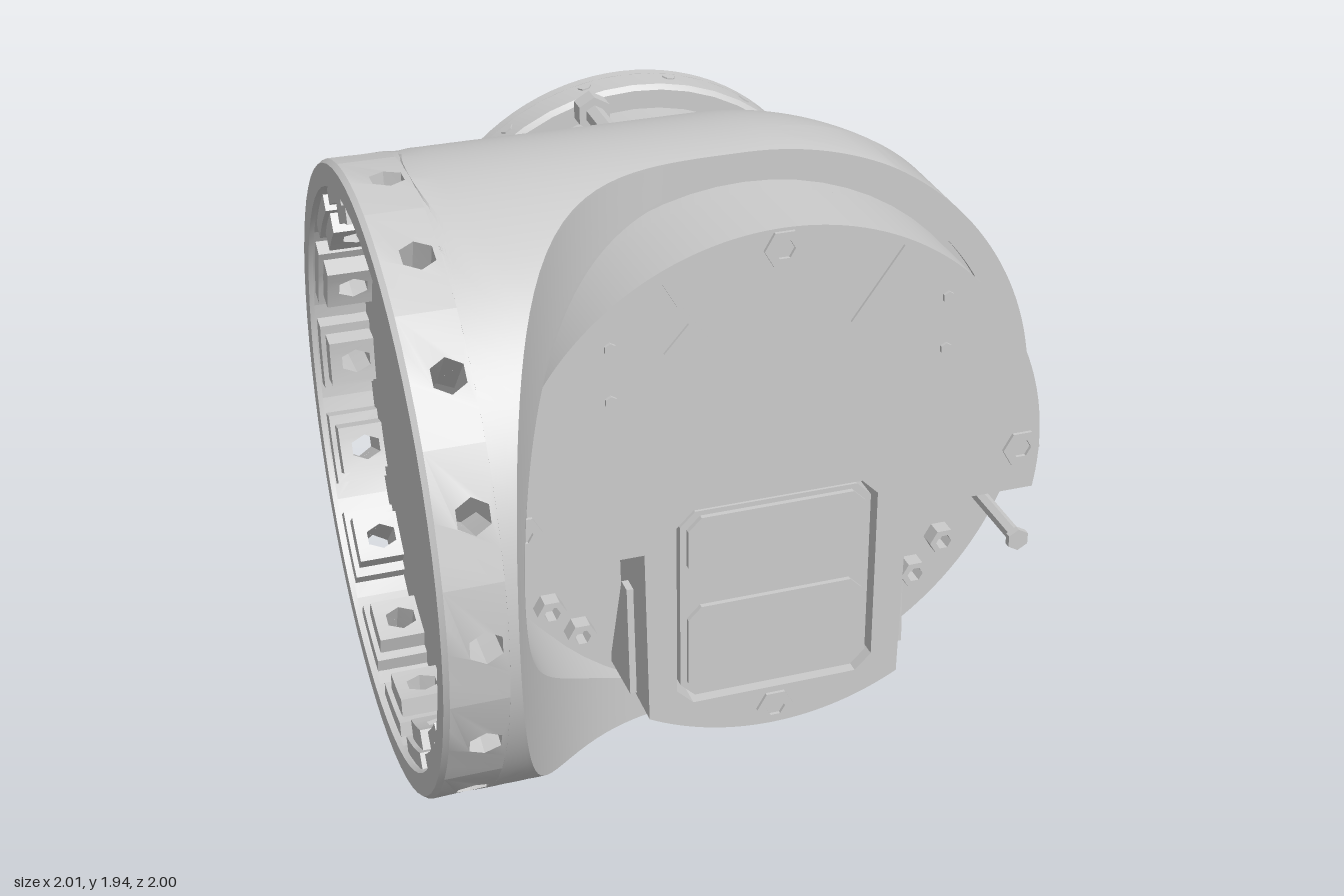
import * as THREE from 'three';
import { toCreasedNormals } from 'three/addons/utils/BufferGeometryUtils.js';

const CX = 0.09, CY = 1.02, CZ = 0.08, R = 0.915; // joint axis centre, side drum axis and radius
const mat = new THREE.MeshStandardMaterial({ color: 0xcccccc });
const thin = new THREE.MeshStandardMaterial({ color: 0xcccccc, side: THREE.DoubleSide });

// Housing surface: drum along x, necked by curved cuts front and back
const neck = (x, x0, x1, p) => Math.pow(1 - THREE.MathUtils.clamp((x - x0) / (x1 - x0), 0, 1), p);
const crown = (dx, dy) => {
  const s = dx > 0 ? Math.hypot(0.96 * dx, dy) : Math.abs(dy);
  return Math.sqrt(Math.max(0, R * R - s * s));
};
const sides = {
  front: { inner: 0.83, drum: (x, y) => CZ + crown(x, y), cut: x => 0.2 + 0.8 * neck(x + CX, -0.8, 0.05, 3.15), pick: Math.min },
  back: { inner: 0.77, drum: (x, y) => CZ - crown(x, y), cut: x => -0.23 - 0.61 * neck(x + CX, -0.8, -0.2, 3.5), pick: Math.max },
};

// Radius along a ray where the neck cut meets the drum
function creaseRadius(side, c, s, outer) {
  let lo = side.inner, hi = outer;
  for (let n = 0; n < 30; n++) {
    const r = (lo + hi) / 2, cut = side.cut(r * c);
    if (side.pick(side.drum(r * c, r * s), cut) === cut) lo = r; else hi = r;
  }
  return lo;
}

function housingGeometry() {
  const N = 160, H = 14, M = 2 * H, rows = 2 * M + 4, pos = [], idx = [];
  for (let j = 0; j <= N; j++) {
    const a = (j / N) * Math.PI * 2, c = Math.cos(a), s = Math.sin(a);
    const outer = c > 0 ? R : R / Math.max(Math.abs(c), Math.abs(s));
    for (let i = 0; i < rows; i++) {
      const side = i <= M + 1 ? sides.front : sides.back;
      const k = THREE.MathUtils.clamp(side === sides.front ? i - 1 : rows - 2 - i, 0, M);
      const crease = creaseRadius(side, c, s, outer);
      const r = k <= H
        ? THREE.MathUtils.lerp(side.inner, crease, k / H)
        : THREE.MathUtils.lerp(crease, outer, 1 - (1 - (k - H) / H) ** 2);
      const wall = i === 0 || i === rows - 1;
      const z = wall ? 0 : side.pick(side.drum(r * c, r * s), side.cut(r * c));
      pos.push(CX + r * c, CY + r * s, z);
    }
  }
  for (let j = 0; j < N; j++) for (let i = 0; i < rows - 1; i++) {
    const a = j * rows + i, b = a + rows;
    idx.push(a, a + 1, b + 1, a, b + 1, b);
  }
  const g = new THREE.BufferGeometry();
  g.setAttribute('position', new THREE.Float32BufferAttribute(pos, 3));
  g.setIndex(idx);
  return toCreasedNormals(g, 0.5);
}

// Pierced plate wrapped round the drum axis
function bentPlate(halfWidth, x0, x1, rIn, rOut, angle) {
  const pts = [], n = 4;
  for (let i = 0; i <= n; i++) pts.push([halfWidth * (2 * i / n - 1), x0]);
  for (let i = n; i >= 0; i--) pts.push([halfWidth * (2 * i / n - 1), x1]);
  const shape = outline(pts);
  shape.holes.push(polygon(6, 0.05, 0, -0.885));
  const g = new THREE.ExtrudeGeometry(shape, { depth: rOut - rIn, bevelEnabled: false });
  const p = g.attributes.position;
  for (let i = 0; i < p.count; i++) {
    const a = angle + p.getX(i) / R, r = rIn + p.getZ(i);
    p.setXYZ(i, p.getY(i), CY + r * Math.cos(a), CZ + r * Math.sin(a));
  }
  return toCreasedNormals(g, 0.5);
}

const outline = points => new THREE.Shape(points.map(p => new THREE.Vector2(...p)));

function polygon(n, r, x, y) {
  const pts = [];
  for (let i = 0; i < n; i++) {
    const a = (i / n) * Math.PI * 2;
    pts.push([x + r * Math.cos(a), y + r * Math.sin(a)]);
  }
  return outline(pts);
}

export function createModel() {
  const model = new THREE.Group();
  const add = (name, geo, x = 0, y = 0, z = 0, parent = model, m = mat) => {
    const mesh = new THREE.Mesh(geo, m);
    mesh.name = name;
    mesh.position.set(x, y, z);
    parent.add(mesh);
    return mesh;
  };
  const extrude = (shape, depth) => toCreasedNormals(
    new THREE.ExtrudeGeometry(shape, { depth, bevelEnabled: false, curveSegments: 48 }), 0.5);
  const rod = (r, len, n = 6) => toCreasedNormals(new THREE.CylinderGeometry(r, r, len, n).rotateX(Math.PI / 2), 0.5);
  const lathe = (profile, n) => new THREE.LatheGeometry(profile.map(p => new THREE.Vector2(...p)), n);
  // Hexagonal socket ring, axis along z
  const socket = (r, hole, depth) => {
    const s = polygon(6, r, 0, 0);
    s.holes.push(polygon(6, hole, 0, 0));
    return extrude(s, depth);
  };

  add('housing', housingGeometry());

  // Open mounting rim with pierced wall, chamfered lip and stepped inner lugs
  for (let i = 0; i < 16; i++) {
    const a = (i / 16) * Math.PI * 2;
    add('mountRim', bentPlate(Math.PI * R / 16, -0.985, CX - R, 0.84, R, a));
    add('mountLugBase', bentPlate(0.125, -0.98, -0.826, 0.79, 0.845, a));
    add('mountLug', bentPlate(0.09, -0.965, -0.827, 0.73, 0.795, a));
  }
  const rings = {
    mountLip: [[0.84, -0.985], [0.84, -1], [0.905, -1], [R, -0.985]],
    mountCollar: [[0.84, -0.826], [0.912, -0.826], [0.912, -0.8], [0.84, -0.8]],
  };
  for (const [name, profile] of Object.entries(rings))
    add(name, toCreasedNormals(lathe(profile, 64).rotateZ(-Math.PI / 2), 0.5), 0, CY, CZ);

  // Front cover: round base, stepped face with two lower notches
  const cover = new THREE.Group();
  cover.name = 'frontCover';
  cover.position.set(CX, CY, 0);
  model.add(cover);
  add('coverBase', rod(0.835, 0.24, 64), 0, 0, 0.06, cover);
  add('coverStep', rod(0.81, 0.1, 64), 0, 0, 0.2, cover);
  const octagon = (x, y0, y1, c) => outline([
    [-x + c, y0], [x - c, y0], [x, y0 + c], [x, y1 - c], [x - c, y1], [-x + c, y1], [-x, y1 - c], [-x, y0 + c]]);
  const face = new THREE.Shape();
  const low = Math.atan2(0.71, 0.39);
  face.absarc(0, 0, 0.81, -0.174, Math.PI + 0.174, false);
  face.lineTo(-0.4, -0.14);
  face.absarc(0, 0, 0.81, -Math.PI + low, -low, false);
  face.lineTo(0.4, -0.14);
  face.holes.push(octagon(0.305, -0.68, -0.02, 0.05));
  add('coverFace', extrude(face, 0.25), 0, 0, 0.25, cover);

  // Hatch set in a groove, with two panels
  add('hatch', extrude(octagon(0.29, -0.665, -0.035, 0.045), 0.235), 0, 0, 0.25, cover);
  add('upperPanel', extrude(octagon(0.27, -0.25, -0.05, 0.04), 0.015), 0, 0, 0.485, cover);
  add('lowerPanel', extrude(octagon(0.27, -0.65, -0.35, 0.04), 0.015), 0, 0, 0.485, cover);

  // Cover screws, marks and notch ribs
  for (const [x, y] of [[0, 0.75], [0, -0.75], [-0.75, 0], [0.75, 0]])
    add('coverScrew', socket(0.058, 0.03, 0.05), x, y, 0.46, cover);
  for (const s of [-1, 1]) {
    for (const y of [0.53, 0.37]) add('coverPin', rod(0.018, 0.02), s * 0.49, y, 0.5, cover);
    for (const [x, y] of [[0.53, -0.52], [0.62, -0.42]])
      add('notchScrew', socket(0.045, 0.025, 0.05), s * x, y, 0.25, cover);
    const mark = outline([[0.2, 0.5], [0.29, 0.46], [0.34, 0.49], [0.27, 0.57], [0.35, 0.71]].map(p => [s * p[0], p[1]]));
    add('coverMark', extrude(mark, 0.008), 0, 0, 0.5, cover);
    const rib = outline([[0.24, -0.66], [0.44, -0.65], [0.42, -0.3], [0.37, -0.3]]);
    add('notchRib', extrude(rib, 0.02).rotateY(-Math.PI / 2), s * 0.42 + 0.01, 0, 0, cover);
  }
  add('longScrew', rod(0.022, 0.35), 0.72, -0.26, 0.41, cover);
  add('longScrewHead', rod(0.035, 0.02), 0.72, -0.26, 0.58, cover);

  // Rear plate and connector disc
  add('rearPlate', rod(0.775, 0.12, 64), CX, CY, -0.1);
  add('connectorDisc', rod(0.3, 0.14, 24), CX + 0.01, CY, -0.22);

  // Ribbed drive unit
  const profile = [[0, 0.28], [0.55, 0.28], [0.57, 0.33], [0.62, 0.34], [0.63, 0.37], [0.69, 0.385], [0.69, 0.41],
    [0.64, 0.43], [0.64, 0.45], [0.67, 0.46], [0.67, 0.49], [0.64, 0.5], [0.64, 0.52], [0.67, 0.53], [0.67, 0.6],
    [0.63, 0.63], [0.61, 0.64], [0.61, 0.72], [0.64, 0.72], [0.64, 0.84], [0.7, 0.84], [0.715, 0.855],
    [0.715, 0.95], [0, 0.95]];
  add('driveUnit', toCreasedNormals(lathe(profile, 48).rotateX(-Math.PI / 2), 0.4), CX, CY, 0);
  add('driveTab', new THREE.BoxGeometry(0.1, 0.06, 0.07), 0.29, CY + 0.6, -0.65);

  // Output flange with four groups of four sockets, small screws on its edge
  const edge = new THREE.Shape().absarc(0, 0, 0.715, 0, Math.PI * 2, false);
  const lid = new THREE.Shape().absarc(0, 0, 0.7, 0, Math.PI * 2, false);
  for (let q = 0; q < 4; q++) for (const d of [17, 36, 54, 73]) {
    const a = THREE.MathUtils.degToRad(q * 90 + d);
    for (const s of [edge, lid]) s.holes.push(polygon(7, 0.052, 0.58 * Math.cos(a), 0.58 * Math.sin(a)));
  }
  add('outputFlange', extrude(edge, 0.035), CX, CY, -0.985);
  add('outputFlangeLid', extrude(lid, 0.015), CX, CY, -1);
  for (let i = 0; i < 16; i++) {
    const a = ((i + 0.5) / 16) * Math.PI * 2;
    add('edgeScrew', rod(0.022, 0.012), CX + 0.712 * Math.cos(a), CY + 0.712 * Math.sin(a), -0.92)
      .rotation.set(-a, Math.PI / 2, 0, 'YXZ');
  }

  // Long bolts around the drive unit
  for (let q = 0; q < 4; q++) for (const d of [15, 45]) {
    const a = THREE.MathUtils.degToRad(q * 90 + d), x = CX + 0.76 * Math.cos(a), y = CY + 0.76 * Math.sin(a);
    add('driveBolt', rod(0.03, 0.5), x, y, -0.37);
    if (d === 15) add('driveBoltHead', rod(0.055, 0.06), x, y, -0.64);
  }

  // Hexagonal bosses on the side of the ring
  for (const [deg, r, hole] of [[0, 0.1, 0.04], [27, 0.045, 0.025], [-27, 0.045, 0.025]]) {
    const a = THREE.MathUtils.degToRad(deg);
    add('sideBoss', socket(r, hole, 0.025), CX + 0.896 * Math.cos(a), CY + 0.896 * Math.sin(a), CZ)
      .rotation.set(-a, Math.PI / 2, 0, 'YXZ');
  }

  // Pegs and a loose curved lip underneath
  for (const x of [-0.2, 0.13]) {
    add('peg', new THREE.CylinderGeometry(0.03, 0.03, 0.12, 8), x, 0.1, CZ);
    add('pegHead', new THREE.CylinderGeometry(0.045, 0.045, 0.012, 8), x, 0.046, CZ);
  }
  const lip = new THREE.Shape();
  lip.moveTo(0.06, 0.0);
  lip.quadraticCurveTo(0.12, 0.09, 0.4, 0.04);
  lip.lineTo(0.4, 0.1);
  lip.quadraticCurveTo(0.37, 0.15, 0.3, 0.15);
  lip.quadraticCurveTo(0.2, 0.1, 0.09, 0.11);
  add('lowerLip', new THREE.ShapeGeometry(lip), 0, 0, 0.12, model, thin);
  return model;
}
